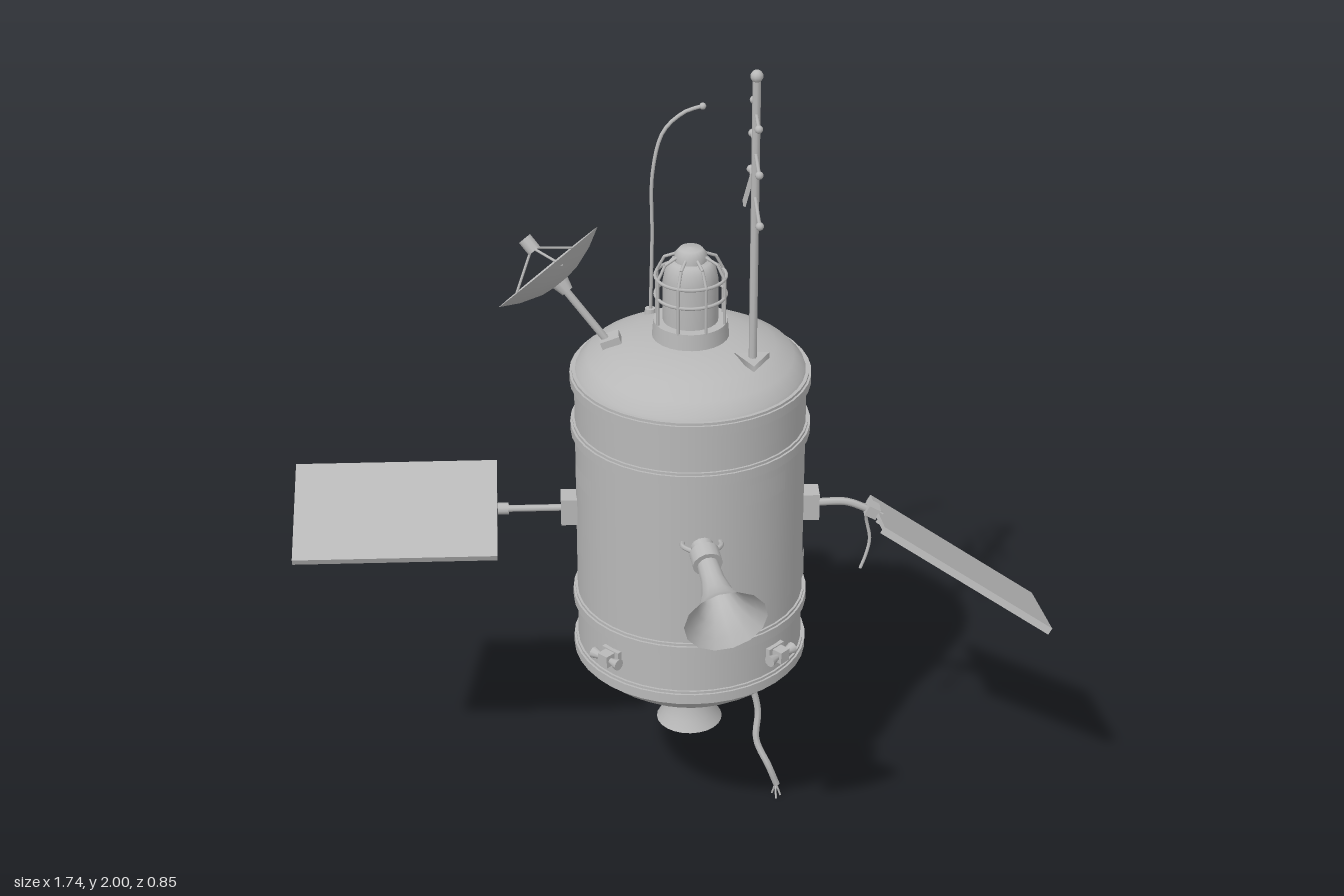
import * as THREE from 'three';

const CX = 0.04, CZ = -0.122, R = 0.262; // body axis and wall radius

export function createModel() {
  const metal = new THREE.MeshStandardMaterial({ color: 0xb8b8b8, side: THREE.DoubleSide });
  metal.name = 'grey metal';
  const model = new THREE.Group();
  model.name = 'spaceProbe';
  const V = (x, y, z) => new THREE.Vector3(x, y, z);
  const UP = V(0, 1, 0);

  const add = (name, geo, x = 0, y = 0, z = 0, parent = model) => {
    const m = new THREE.Mesh(geo, metal);
    m.name = name;
    m.position.set(x, y, z);
    parent.add(m);
    return m;
  };
  const group = (name, x = 0, y = 0, z = 0, parent = model) => {
    const g = new THREE.Group();
    g.name = name;
    g.position.set(x, y, z);
    parent.add(g);
    return g;
  };
  const box = (name, w, h, d, x, y, z, parent) => add(name, new THREE.BoxGeometry(w, h, d), x, y, z, parent);
  const cyl = (name, r0, r1, h, x, y, z, parent, n = 32) =>
    add(name, new THREE.CylinderGeometry(r0, r1, h, n), x, y, z, parent);
  const ball = (name, r, p, parent) => add(name, new THREE.SphereGeometry(r, 10, 8), p.x, p.y, p.z, parent);
  const lathe = (name, pts, n, x, y, z, parent) =>
    add(name, new THREE.LatheGeometry(pts.map(p => new THREE.Vector2(...p)), n), x, y, z, parent);
  // Straight round bar between two points
  const rod = (name, a, b, r, parent) => {
    const m = cyl(name, r, r, a.distanceTo(b), 0, 0, 0, parent, 8);
    m.position.copy(a).add(b).multiplyScalar(0.5);
    m.quaternion.setFromUnitVectors(UP, b.clone().sub(a).normalize());
    return m;
  };
  // Bent wire through points
  const wire = (name, pts, r, parent) => add(name, new THREE.TubeGeometry(
    new THREE.CatmullRomCurve3(pts.map(p => V(...p)), false, 'centripetal'), pts.length * 5, r, 6), 0, 0, 0, parent);
  // Group whose +z points outward from the wall at an angle measured from the front
  const onWall = (name, deg, y) => {
    const a = THREE.MathUtils.degToRad(deg);
    const g = group(name, CX + R * Math.sin(a), y, CZ + R * Math.cos(a));
    g.rotation.y = a;
    return g;
  };

  // Hull: wall, bands, domes, engine nozzle
  cyl('hullWall', R, R, 0.72, CX, 0.88, CZ, model, 40);
  for (const y of [0.53, 0.66, 1.105, 1.23]) {
    cyl('hullBand', 0.272, 0.272, 0.022, CX, y, CZ, model, 40);
    cyl('hullBandLip', 0.267, 0.267, 0.034, CX, y, CZ, model, 40);
  }
  lathe('upperDome', [[0.264, 1.235], [0.256, 1.255], [0.232, 1.28], [0.19, 1.304], [0.14, 1.32], [0.08, 1.331], [0, 1.335]], 40, CX, 0, CZ);
  lathe('lowerDome', [[0, 0.393], [0.06, 0.395], [0.1, 0.404], [0.14, 0.42], [0.19, 0.45], [0.23, 0.48], [0.262, 0.518]], 40, CX, 0, CZ);
  lathe('engineNozzle', [[0.078, 0.3], [0.064, 0.325], [0.055, 0.355], [0.05, 0.4]], 24, CX, 0, CZ);
  cyl('nozzleThroat', 0.045, 0.045, 0.01, CX, 0.39, CZ, model, 24);

  // Cupola with a wire cage
  const cupola = group('cupola', CX, 0, CZ);
  cyl('cupolaNeck', 0.083, 0.087, 0.045, 0, 1.345, 0, cupola);
  lathe('cupolaBody', [[0.062, 1.36], [0.062, 1.465], [0.056, 1.495], [0.045, 1.51], [0, 1.52]], 24, 0, 0, 0, cupola);
  lathe('cupolaCap', [[0.036, 1.505], [0.036, 1.528], [0.026, 1.54], [0, 1.543]], 20, 0, 0, 0, cupola);
  for (let i = 0; i < 8; i++) {
    const a = (i + 0.5) * Math.PI / 4, s = Math.sin(a), c = Math.cos(a);
    const p = [[0.08, 1.36], [0.08, 1.475], [0.062, 1.51], [0.034, 1.523]].map(([r, y]) => V(r * s, y, r * c));
    for (let k = 0; k < 3; k++) rod('cageBar', p[k], p[k + 1], 0.0035, cupola);
  }
  for (const y of [1.43, 1.475]) {
    add('cageRing', new THREE.TorusGeometry(0.079, 0.004, 6, 32), 0, y, 0, cupola).rotation.x = Math.PI / 2;
  }

  // Mast with three crossbars and a loose tag
  const mast = group('mast', 0.172, 0, -0.012);
  cyl('mastFoot', 0.045, 0.045, 0.014, 0, 1.318, 0, mast, 3);
  rod('mastPole', V(0, 1.29, 0), V(0, 1.985, 0), 0.009, mast);
  ball('mastTip', 0.014, V(0, 1.986, 0), mast);
  for (const [y, h] of [[1.9, 0.08], [1.81, 0.112], [1.71, 0.148]]) {
    rod('crossbar', V(0, y, -h), V(0, y, h), 0.004, mast);
    for (const s of [-1, 1]) ball('crossbarEnd', 0.009, V(0, y, s * h), mast);
  }
  box('looseTag', 0.005, 0.065, 0.032, -0.009, 1.682, -0.097, mast).rotation.z = -0.25;

  // Whip aerial
  wire('whipAerial', [[-0.045, 1.3, -0.262], [-0.04, 1.5, -0.264], [-0.038, 1.66, -0.268], [-0.013, 1.75, -0.282], [0.034, 1.79, -0.293], [0.072, 1.8, -0.3]], 0.0045);
  ball('whipTip', 0.008, V(0.074, 1.8, -0.3));
  cyl('whipFoot', 0.012, 0.016, 0.03, -0.045, 1.31, -0.262, model, 10);

  // Dish aerial, +y of the group is the pointing direction
  const dish = group('dishAerial', -0.272, 1.48, -0.156);
  dish.quaternion.setFromUnitVectors(UP, V(-0.62, 0.72, -0.33).normalize());
  lathe('dishBowl', [[0, -0.042], [0.05, -0.036], [0.1, -0.019], [0.143, 0.004]], 12, 0, 0, 0, dish);
  for (let i = 0; i < 3; i++) {
    const a = i * Math.PI * 2 / 3 + 0.4;
    rod('feedStrut', V(0.115 * Math.sin(a), -0.01, 0.115 * Math.cos(a)), V(0, 0.06, 0), 0.003, dish);
  }
  cyl('dishFeed', 0.016, 0.016, 0.035, 0, 0.068, 0, dish, 10);
  cyl('dishHub', 0.022, 0.014, 0.03, 0, -0.05, 0, dish, 10);
  rod('dishArm', V(-0.236, 1.435, -0.137), V(-0.14, 1.305, -0.127), 0.009);
  box('dishFoot', 0.045, 0.02, 0.04, -0.138, 1.315, -0.126).rotation.z = 0.35;

  // Horn aerial, +y of the group points forward and slightly down
  const horn = group('hornAerial', 0.063, 0.942, 0.235);
  horn.quaternion.setFromUnitVectors(UP, V(0.03, -0.045, 0.155).normalize());
  lathe('hornBell', [[0.024, 0], [0.027, 0.05], [0.036, 0.09], [0.053, 0.125], [0.075, 0.15], [0.093, 0.168]], 14, 0, 0, 0, horn);
  cyl('hornCollar', 0.034, 0.034, 0.036, 0, -0.02, 0, horn, 14);
  cyl('hornRear', 0.022, 0.026, 0.022, 0, -0.048, 0, horn, 12);
  ball('hornCore', 0.02, V(0, 0.05, 0), horn);
  for (const x of [0.012, 0.095]) wire('hornBracket', [[x, 0.94, 0.13], [x, 0.945, 0.16], [0.058, 0.945, 0.2]], 0.006);
  wire('hornCable', [[0.06, 0.93, 0.19], [0.055, 0.89, 0.185], [0.07, 0.86, 0.165], [0.08, 0.85, 0.13]], 0.004);

  // Solar panels with ribs underneath
  const solarPanel = (name, centre, along, forward) => {
    const g = group(name, ...centre);
    const ex = V(...along).normalize(), ey = V(...forward).cross(ex).normalize();
    g.quaternion.setFromRotationMatrix(new THREE.Matrix4().makeBasis(ex, ey, ex.clone().cross(ey)));
    box('panelSheet', 0.466, 0.01, 0.271, 0, 0, 0, g);
    for (const z of [-0.132, -0.045, 0.045, 0.132]) box('panelRib', 0.466, 0.008, 0.007, 0, -0.008, z, g);
  };
  solarPanel('straightPanel', [-0.637, 0.885, -0.125], [1, 0, 0], [0, -0.41, 0.91]);
  solarPanel('bentPanel', [0.668, 0.729, -0.097], [0.393, -0.25, 0.057], [0, 0.07, 0.262]);
  for (const s of [-1, 1]) box('armBracket', 0.045, 0.066, 0.052, CX + s * 0.275, 0.887, CZ);
  rod('straightArm', V(-0.25, 0.885, -0.125), V(-0.4, 0.885, -0.125), 0.008);
  cyl('straightArmJoint', 0.014, 0.014, 0.025, -0.39, 0.885, -0.125, model, 10).rotation.z = Math.PI / 2;
  wire('bentArm', [[0.33, 0.885, -0.125], [0.4, 0.885, -0.125], [0.44, 0.87, -0.125], [0.485, 0.845, -0.125]], 0.009);
  box('bentArmJoint', 0.03, 0.026, 0.036, 0.462, 0.862, -0.125).rotation.z = -0.5;
  wire('tornPanelCable', [[0.47, 0.855, -0.14], [0.455, 0.82, -0.175], [0.466, 0.75, -0.18], [0.458, 0.71, -0.175], [0.445, 0.675, -0.17]], 0.004);

  // Attitude thrusters at four corners
  for (const deg of [45, 135, 225, 315]) {
    const g = onWall('thruster', deg, 0.6);
    box('thrusterPlate', 0.05, 0.036, 0.012, 0, 0, 0.003, g);
    box('thrusterBlock', 0.028, 0.03, 0.034, 0, 0, 0.018, g);
    for (const s of [-1, 1]) {
      cyl('thrusterNozzle', 0.014, 0.007, 0.026, s * 0.027, 0, 0.022, g, 10).rotation.z = -s * Math.PI / 2;
    }
  }

  // Curved access panels
  for (const [a, b, y, h] of [[24, 50, 1.047, 0.05], [54, 78, 0.765, 0.07], [281, 301, 1.012, 0.042]]) {
    const r = Math.PI / 180;
    add('accessPanel', new THREE.CylinderGeometry(R + 0.005, R + 0.005, h, 6, 1, true, a * r, (b - a) * r), CX, y, CZ);
  }

  // Rear hatch
  const hatch = group('rearHatch', 0.02, 0.893, 0);
  box('hatchBox', 0.22, 0.186, 0.06, 0, 0, -0.362, hatch);
  for (const s of [-1, 1]) {
    box('hatchFrameSide', 0.01, 0.186, 0.01, s * 0.105, 0, -0.396, hatch);
    box('hatchFrameEnd', 0.22, 0.01, 0.01, 0, s * 0.088, -0.396, hatch);
    box('windowFrameSide', 0.008, 0.1, 0.016, 0.042 + s * 0.05, 0.01, -0.398, hatch);
    box('windowFrameEnd', 0.1, 0.008, 0.016, 0.042, 0.01 + s * 0.046, -0.398, hatch);
    rod('hatchHandlePost', V(0.08 + s * 0.026, -0.058, -0.39), V(0.08 + s * 0.026, -0.058, -0.42), 0.004, hatch);
  }
  rod('hatchHandle', V(0.054, -0.058, -0.42), V(0.106, -0.058, -0.42), 0.004, hatch);
  box('hatchPlate', 0.05, 0.05, 0.012, -0.06, 0.02, -0.396, hatch);
  box('hatchLowerPlate', 0.06, 0.04, 0.008, -0.06, -0.052, -0.395, hatch);

  // Vertical grab rails
  for (const deg of [145, 229]) {
    const g = onWall('grabRail', deg, 0.895);
    rod('rail', V(0, -0.1, 0.036), V(0, 0.1, 0.036), 0.005, g);
    for (const y of [-0.098, 0.098]) rod('railPost', V(0, y, -0.005), V(0, y, 0.036), 0.005, g);
  }
  for (const deg of [127, 240]) {
    const g = onWall('smallHook', deg, 0.715);
    wire('hookWire', [[-0.012, -0.008, 0], [-0.01, 0, 0.012], [0.01, 0, 0.012]], 0.003, g);
  }

  // Severed hose hanging below, with frayed ends
  wire('severedHose', [[0.145, 0.44, -0.212], [0.165, 0.39, -0.228], [0.188, 0.33, -0.245], [0.214, 0.23, -0.241], [0.21, 0.155, -0.22], [0.24, 0.09, -0.197], [0.26, 0.035, -0.197]], 0.009);
  for (const [x, z] of [[0.268, -0.21], [0.258, -0.18], [0.25, -0.205], [0.27, -0.195]]) {
    rod('frayedStrand', V(0.258, 0.038, -0.197), V(x, 0.003, z), 0.0025);
  }
  return model;
}
